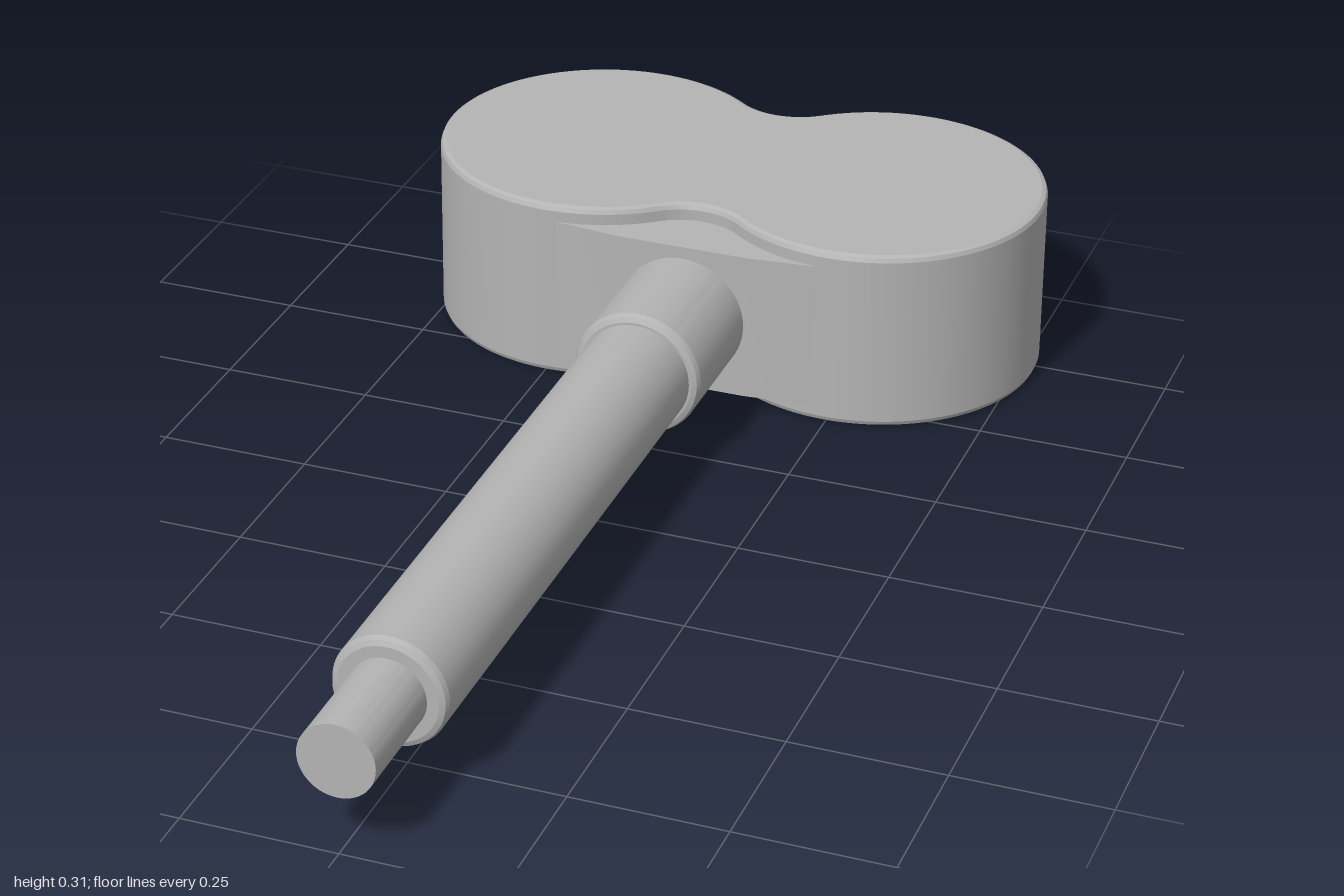
import * as THREE from 'three';
import { toCreasedNormals } from 'three/addons/utils/BufferGeometryUtils.js';

const HEAD_Z = -0.718, AXIS_Y = 0.157;

// Two round lobes joined by tangent fillets at the waist
function headOutline() {
  const lobeX = 0.247, r = 0.281, waist = 0.193;
  const fillet = (lobeX ** 2 + waist ** 2 - r ** 2) / (2 * (r - waist));
  const d = waist + fillet;
  const t = Math.atan2(d, lobeX); // direction between lobe and fillet centres
  const s = new THREE.Shape();
  s.absarc(lobeX, 0, r, -(Math.PI - t), Math.PI - t, false);
  s.absarc(0, d, fillet, -t, t - Math.PI, true);
  s.absarc(-lobeX, 0, r, t, 2 * Math.PI - t, false);
  s.absarc(0, -d, fillet, Math.PI - t, t, true);
  return s;
}

// Extrude a plan shape (shape y = -z) upward between two heights
function slab(shape, y0, y1, bevel) {
  const g = new THREE.ExtrudeGeometry(shape, {
    depth: y1 - y0 - 2 * bevel, curveSegments: 40, bevelEnabled: bevel > 0,
    bevelThickness: bevel, bevelSize: bevel, bevelOffset: -bevel, bevelSegments: 2,
  });
  g.rotateX(-Math.PI / 2);
  g.translate(0, y0 + bevel, 0);
  return toCreasedNormals(g, 0.35);
}

// Turned section along z with chamfered front rim
function turned(radius, z0, z1, chamfer) {
  const p = [[0, z0], [radius, z0], [radius, z1 - chamfer]];
  if (chamfer) p.push([radius - chamfer * 0.3, z1 - chamfer * 0.3], [radius - chamfer, z1]);
  p.push([0, z1]);
  const g = new THREE.LatheGeometry(p.map(([x, y]) => new THREE.Vector2(x, y)), 64);
  g.rotateX(Math.PI / 2);
  g.translate(0, AXIS_Y, 0);
  return toCreasedNormals(g, 0.35);
}

export function createModel() {
  const group = new THREE.Group();
  const metal = new THREE.MeshStandardMaterial({ color: 0xb4b4b4 });
  metal.name = 'grey metal';
  const add = (name, geometry) => {
    const m = new THREE.Mesh(geometry, metal);
    m.name = name;
    group.add(m);
    return m;
  };

  // Double-lobed grip
  add('head', slab(headOutline(), 0, 0.315, 0.01)).position.z = HEAD_Z;

  // Web filling the front notch behind the collar
  const web = new THREE.Shape([
    [-0.228, 0.437], [-0.11, 0.425], [0.11, 0.425], [0.228, 0.437], [0.15, 0.6], [-0.15, 0.6],
  ].map(([x, y]) => new THREE.Vector2(x, y)));
  add('web', slab(web, 0.028, 0.286, 0));

  // Stepped shaft
  add('collar', turned(0.108, -0.5, -0.205, 0.012));
  add('shaft', turned(0.092, -0.22, 0.815, 0.012));
  add('tip', turned(0.061, 0.8, 1, 0));
  return group;
}
